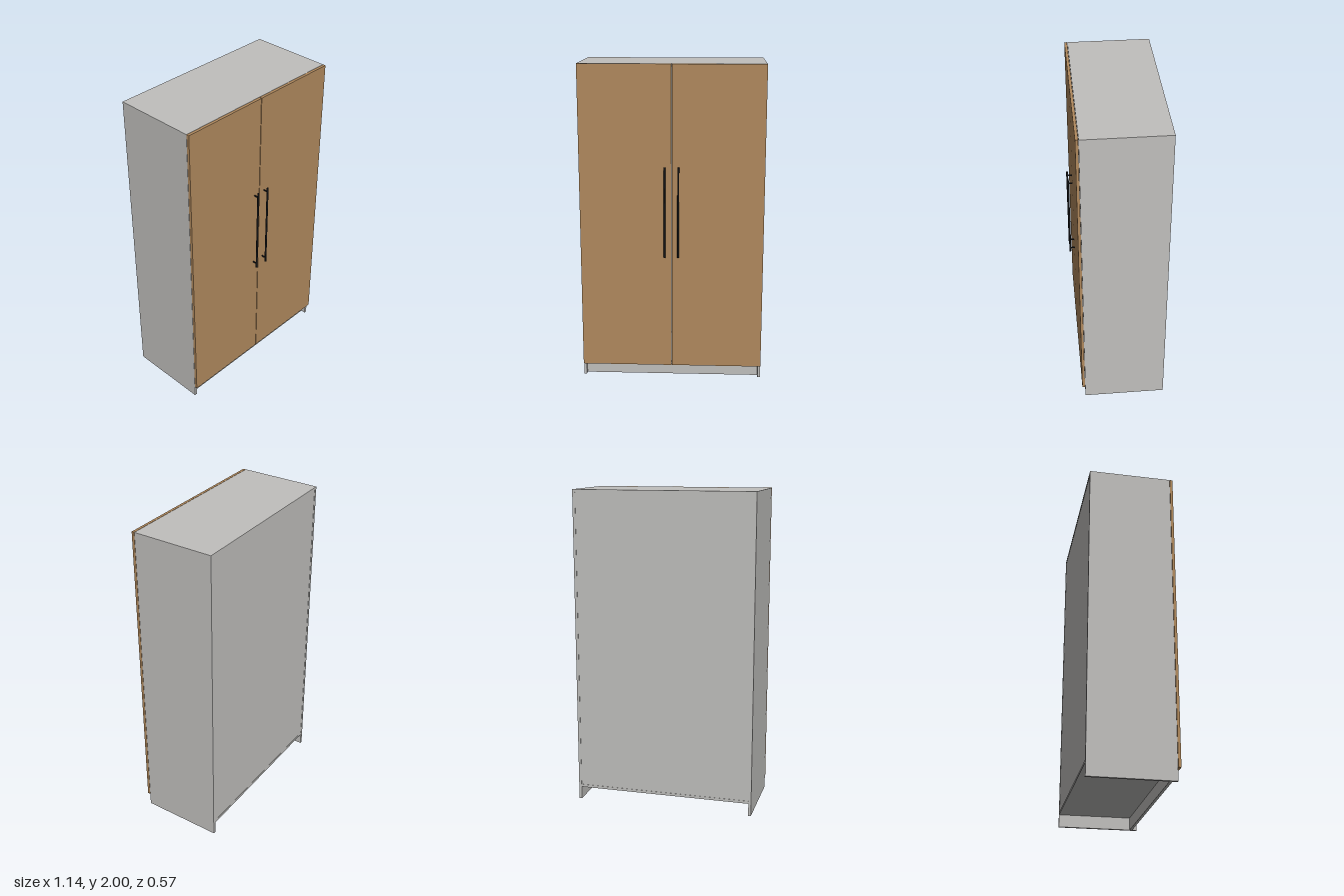
import * as THREE from 'three';

export function createModel() {
  const group = new THREE.Group();
  group.name = 'wardrobe';

  const mat = (name, color) => {
    const m = new THREE.MeshStandardMaterial({ color });
    m.name = name;
    return m;
  };
  const panel = mat('grey panel', 0xc0bfbd);
  const wood = mat('oak door', 0xb0895d);
  const metal = mat('black metal', 0x1a1b1e);

  // Box given by its minimum and maximum corners
  const box = (name, material, [x0, y0, z0], [x1, y1, z1], parent = group) => {
    const mesh = new THREE.Mesh(new THREE.BoxGeometry(x1 - x0, y1 - y0, z1 - z0), material);
    mesh.position.set((x0 + x1) / 2, (y0 + y1) / 2, (z0 + z1) / 2);
    mesh.name = name;
    parent.add(mesh);
  };

  const W = 0.57, H = 2, T = 0.017, back = -0.285, front = 0.231, base = 0.08;
  const inner = W - T;

  // Carcass
  box('leftSide', panel, [inner, 0, back], [W, H, front]);
  box('rightSide', panel, [-W, 0, back], [-inner, H, front]);
  box('topPanel', panel, [-inner, H - T, back], [inner, H, front]);
  box('bottomPanel', panel, [-inner, base, back], [inner, base + T, front]);
  box('backPanel', panel, [-inner, base + T, back + 0.002], [inner, H - T, back + 0.01]);
  box('plinth', panel, [-inner, 0, front - 0.03 - T], [inner, base, front - 0.03]);

  // Doors with bar handles
  const doorBack = 0.233, doorFront = 0.25, barZ = 0.279, r = 0.006;
  for (const [side, s] of [['left', 1], ['right', -1]]) {
    const xs = [s * 0.002, s * W].sort((a, b) => a - b);
    box(side + 'Door', wood, [xs[0], base, doorBack], [xs[1], H, doorFront]);

    const handle = new THREE.Group();
    handle.name = side + 'Handle';
    handle.position.x = s * 0.042;
    group.add(handle);

    const bar = new THREE.Mesh(new THREE.CylinderGeometry(r, r, 0.57, 20), metal);
    bar.name = 'bar';
    bar.position.set(0, 1.096, barZ);
    handle.add(bar);

    for (const y of [0.84, 1.353]) {
      const post = new THREE.Mesh(new THREE.CylinderGeometry(0.0045, 0.0045, barZ - doorFront, 16), metal);
      post.name = 'post';
      post.rotation.x = Math.PI / 2;
      post.position.set(0, y, (barZ + doorFront) / 2);
      handle.add(post);
    }
  }
  return group;
}
